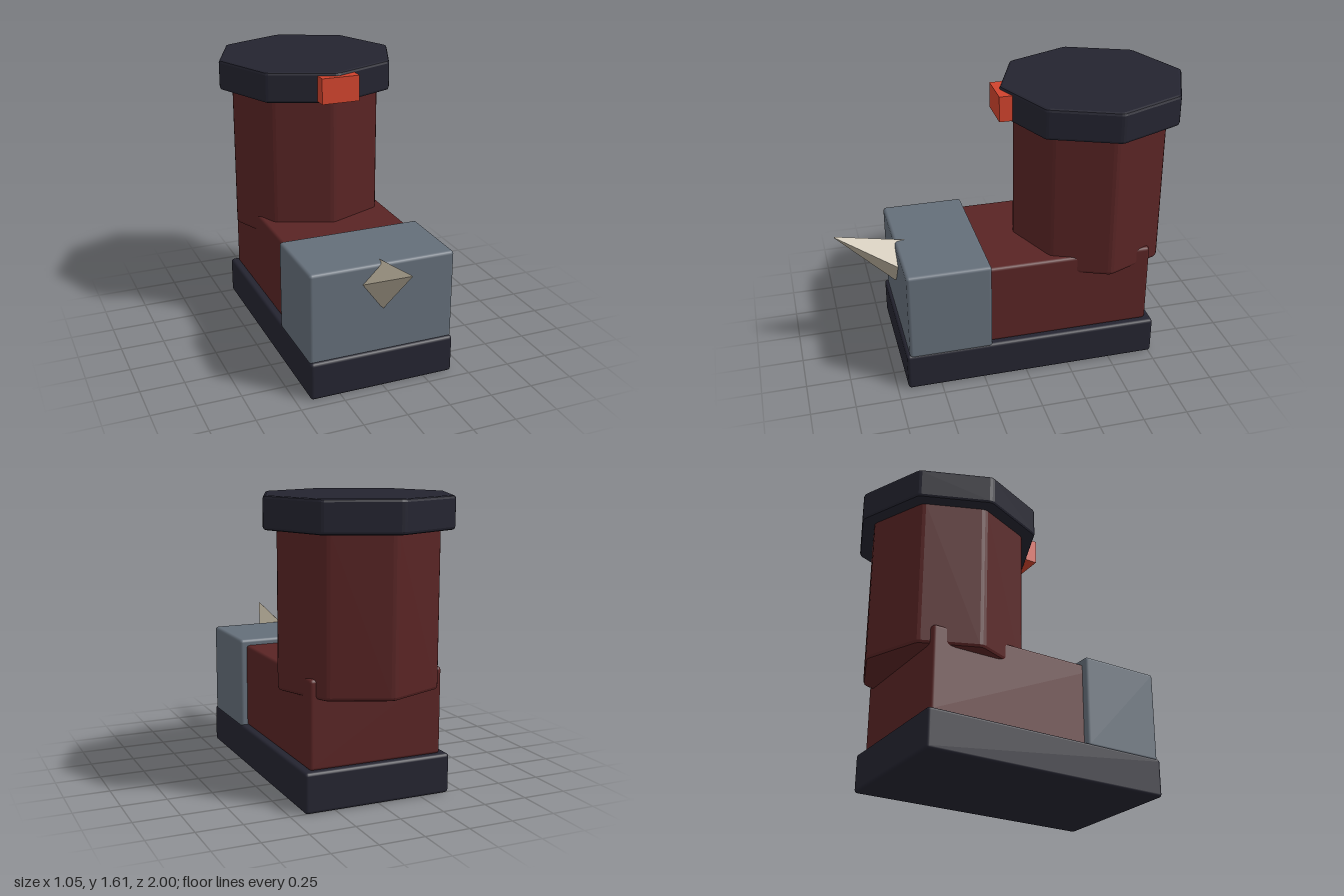
import * as THREE from 'three';
import { RoundedBoxGeometry } from 'three/addons/geometries/RoundedBoxGeometry.js';

const mat = (name, color) => {
  const m = new THREE.MeshStandardMaterial({ color });
  m.name = name;
  return m;
};

// Box given by its min/max extents, with softly rounded edges
function block(x, [y0, y1], [z0, z1], radius) {
  const g = new RoundedBoxGeometry(2 * x, y1 - y0, z1 - z0, 2, radius);
  return g.translate(0, (y0 + y1) / 2, (z0 + z1) / 2);
}

// Upright octagonal prism with softened corners and rims
function octagon(radius, y0, y1, z, bevel) {
  const pts = [];
  for (let i = 0; i < 8; i++) {
    const a = (i * Math.PI) / 4;
    pts.push(new THREE.Vector2(Math.cos(a) * radius, Math.sin(a) * radius));
  }
  const shape = new THREE.Shape();
  pts.forEach((p, i) => {
    const len = p.distanceTo(pts[(i + 1) % 8]);
    const a = p.clone().lerp(pts[(i + 7) % 8], bevel / len);
    const b = p.clone().lerp(pts[(i + 1) % 8], bevel / len);
    if (i === 0) shape.moveTo(a.x, a.y);
    else shape.lineTo(a.x, a.y);
    shape.quadraticCurveTo(p.x, p.y, b.x, b.y);
  });
  shape.closePath();
  const g = new THREE.ExtrudeGeometry(shape, {
    depth: y1 - y0 - 2 * bevel, curveSegments: 2,
    bevelThickness: bevel, bevelSize: bevel, bevelOffset: -bevel, bevelSegments: 2,
  });
  return g.rotateX(-Math.PI / 2).translate(0, y0 + bevel, z);
}

export function createModel() {
  const group = new THREE.Group();
  const navy = mat('dark navy', 0x242430);
  const red = mat('oxblood leather', 0x592424);
  const steel = mat('steel grey', 0x646e79);
  const bone = mat('bone', 0xb8ae9a);
  const orange = mat('orange red', 0xd0432d);

  const add = (name, geometry, material) => {
    const mesh = new THREE.Mesh(geometry, material);
    mesh.name = name;
    group.add(mesh);
    return mesh;
  };

  // Foot
  add('sole', block(0.42, [0, 0.22], [-0.765, 0.69], 0.018), navy);
  add('foot', block(0.38, [0.215, 0.695], [-0.73, 0.3], 0.018), red);
  add('toeCap', block(0.418, [0.205, 0.73], [0.2, 0.672], 0.018), steel);

  // Leg
  add('shaft', octagon(0.453, 0.59, 1.45, -0.475, 0.02), red);
  add('cuff', octagon(0.528, 1.43, 1.605, -0.475, 0.016), navy);
  add('cuffTag', new THREE.BoxGeometry(0.22, 0.145, 0.1).translate(0, 1.515, 0.03), orange);

  // Four-sided toe spike, pointing forward and up
  const length = 0.44;
  const spikeGeo = new THREE.CylinderGeometry(0.004, 0.14, length, 4).toNonIndexed();
  spikeGeo.computeVertexNormals();
  const spike = add('toeSpike', spikeGeo.translate(0, length / 2, 0), bone);
  spike.position.set(0, 0.594, 0.613);
  spike.rotation.x = Math.PI / 2 - Math.atan2(0.206, 0.387);

  return group;
}
